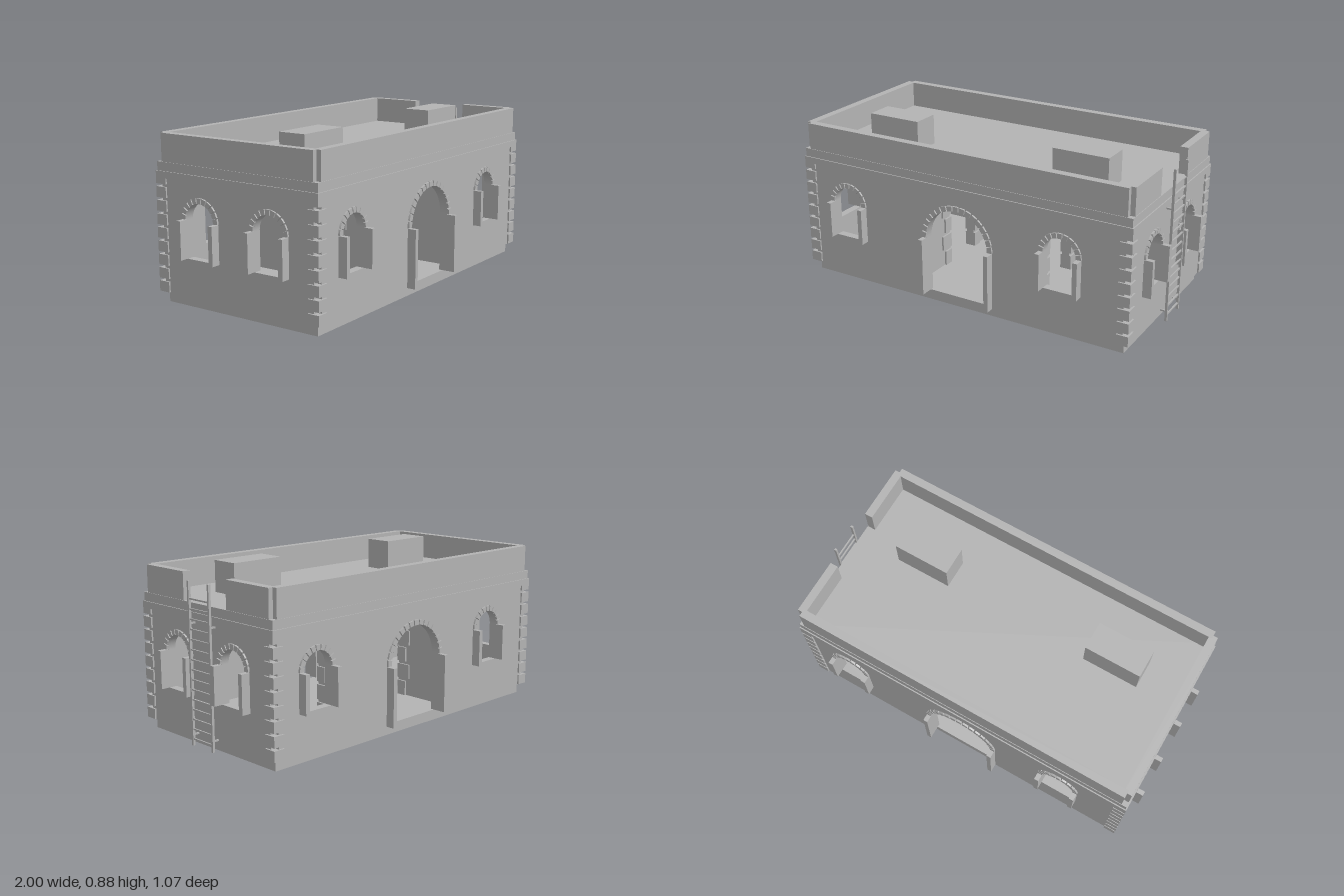
import * as THREE from 'three';

const stone = new THREE.MeshStandardMaterial({ color: 0xb3b3b3 });
stone.name = 'grey stone';

const THICK = 0.043;           // wall thickness
const X = 0.953, Z = 0.488;    // outer wall faces
const BASE = 0.055, FRIEZE = 0.635, CORNICE = 0.67, ROOF = 0.715, TOP = 0.857;

// Box given by its minimum and maximum corners
function box(parent, name, x0, x1, y0, y1, z0, z1) {
  const mesh = new THREE.Mesh(new THREE.BoxGeometry(x1 - x0, y1 - y0, z1 - z0), stone);
  mesh.position.set((x0 + x1) / 2, (y0 + y1) / 2, (z0 + z1) / 2);
  mesh.name = name;
  parent.add(mesh);
  return mesh;
}

function extrude(parent, name, shape, z0, z1) {
  const geo = new THREE.ExtrudeGeometry(shape, { depth: z1 - z0, bevelEnabled: false, curveSegments: 24 });
  geo.translate(0, 0, z0);
  const mesh = new THREE.Mesh(geo, stone);
  mesh.name = name;
  parent.add(mesh);
}

// Jambs and spaced arch stones around an opening, standing proud of z = 0
function surround(parent, name, o) {
  const { x, r, sill, spring, jamb, stones } = o;
  for (const s of [-1, 1]) {
    const a = x + s * r, b = x + s * (r + jamb);
    box(parent, name + 'Jamb', Math.min(a, b), Math.max(a, b), sill, spring, -THICK, 0.047);
  }
  const step = Math.PI / stones;
  for (let i = 0; i < stones; i++) {
    const a0 = (i + 0.09) * step, a1 = (i + 0.91) * step;
    const sector = new THREE.Shape();
    sector.absarc(x, spring, r + 0.027, a0, a1, false);
    sector.absarc(x, spring, r, a1, a0, true);
    extrude(parent, name + 'ArchStone', sector, -0.005, 0.01);
  }
}

// Wall along local x, outer face at z = 0, with an optional arched door and arched windows
function wall(name, half, door, windows) {
  const group = new THREE.Group();
  group.name = name;
  const shape = new THREE.Shape();
  shape.moveTo(-half, BASE);
  if (door) {
    shape.lineTo(door.x - door.r, BASE);
    shape.lineTo(door.x - door.r, door.spring);
    shape.absarc(door.x, door.spring, door.r, Math.PI, 0, true);
    shape.lineTo(door.x + door.r, BASE);
  }
  shape.lineTo(half, BASE);
  shape.lineTo(half, FRIEZE);
  shape.lineTo(-half, FRIEZE);
  shape.closePath();
  for (const w of windows) {
    const hole = new THREE.Path();
    hole.moveTo(w.x - w.r, w.sill);
    hole.lineTo(w.x + w.r, w.sill);
    hole.lineTo(w.x + w.r, w.spring);
    hole.absarc(w.x, w.spring, w.r, 0, Math.PI, false);
    hole.closePath();
    shape.holes.push(hole);
  }
  extrude(group, name + 'Panel', shape, -THICK, 0);
  return group;
}

const windowAt = (x) => ({ x, r: 0.09, sill: 0.25, spring: 0.445, jamb: 0.025, stones: 11 });

// One long wall and one short wall; the other pair is the same turned half round
function halfBuilding() {
  const half = new THREE.Group();
  half.name = 'wallPair';
  const door = { x: 0, r: 0.184, sill: BASE, spring: 0.363, jamb: 0.024, stones: 17 };
  const longWindows = [windowAt(-0.685), windowAt(0.587)];
  const long = wall('longWall', 0.928, door, longWindows);
  surround(long, 'door', door);
  longWindows.forEach((w) => surround(long, 'window', w));
  long.position.z = Z;

  const shortWindows = [windowAt(-0.217), windowAt(0.207)];
  const short = wall('shortWall', 0.463, null, shortWindows);
  shortWindows.forEach((w) => surround(short, 'window', w));
  short.rotation.y = Math.PI / 2;
  short.position.x = X;

  // Inner partition with an arched doorway and blocky edging
  const inner = { x: 0, r: 0.12, spring: 0.38 };
  const partition = wall('partition', 0.45, inner, []);
  for (const s of [-1, 1]) {
    for (let i = 0; i < 4; i++) {
      const w = i % 2 ? 0.08 : 0.055, y = BASE + i * 0.096;
      const a = s * 0.12, b = s * (0.12 + w);
      box(partition, 'doorwayBlock', Math.min(a, b), Math.max(a, b), y, y + 0.08, -THICK - 0.01, 0.01);
    }
  }
  partition.rotation.y = Math.PI / 2;
  partition.position.x = 0.33;
  half.add(long, short, partition);
  return half;
}

export function createModel() {
  const model = new THREE.Group();
  model.name = 'building';

  // Plinth and walls
  box(model, 'plinth', -0.928, 0.928, 0, BASE, -0.464, 0.464);
  const front = halfBuilding(), back = halfBuilding();
  back.rotation.y = Math.PI;
  model.add(front, back);

  // Corner stones
  for (const sx of [-1, 1]) for (const sz of [-1, 1]) {
    for (let i = 0; i < 9; i++) {
      const y = BASE + 0.003 + i * 0.0685;
      const q = box(model, 'cornerStone', -0.032, 0.032, y, Math.min(y + 0.054, FRIEZE), -0.032, 0.032);
      q.position.x = sx * 0.93;
      q.position.z = sz * 0.465;
    }
  }

  // Frieze and roof slab
  box(model, 'frieze', -0.962, 0.962, FRIEZE, CORNICE, -0.497, 0.497);
  box(model, 'roofSlab', -0.956, 0.956, CORNICE, ROOF, -0.491, 0.491);

  // Parapet, notched at the corners and open at the ladder
  for (const s of [-1, 1]) {
    const z = s * (Z - THICK / 2), h = THICK / 2;
    box(model, 'longParapet', -0.928, 0.928, ROOF, TOP, z - h, z + h);
  }
  box(model, 'leftParapet'.replace('left', 'closed'), -X, -X + THICK, ROOF, TOP, -0.463, 0.463);
  box(model, 'openParapet', X - THICK, X, ROOF, TOP, 0.163, 0.463);
  box(model, 'openParapet', X - THICK, X, ROOF, TOP, -0.463, -0.163);

  // Roof boxes
  box(model, 'roofBox', -0.71, -0.405, ROOF, 0.878, 0.078, 0.23);
  box(model, 'roofBox', 0.402, 0.707, ROOF, 0.878, 0.078, 0.23);

  // Ladder
  const ladder = new THREE.Group();
  ladder.name = 'ladder';
  for (const s of [-1, 1]) {
    const z = s * 0.077;
    box(ladder, 'ladderRail', 0.978, 0.991, 0.01, 0.827, z - 0.0055, z + 0.0055);
    for (const y of [0.065, 0.62]) box(ladder, 'ladderBracket', 0.95, 0.98, y - 0.004, y + 0.004, z - 0.004, z + 0.004);
  }
  for (let i = 0; i < 15; i++) {
    const y = 0.044 + i * 0.0498;
    box(ladder, 'ladderRung', 0.981, 0.988, y - 0.004, y + 0.004, -0.073, 0.073);
  }
  model.add(ladder);
  return model;
}
